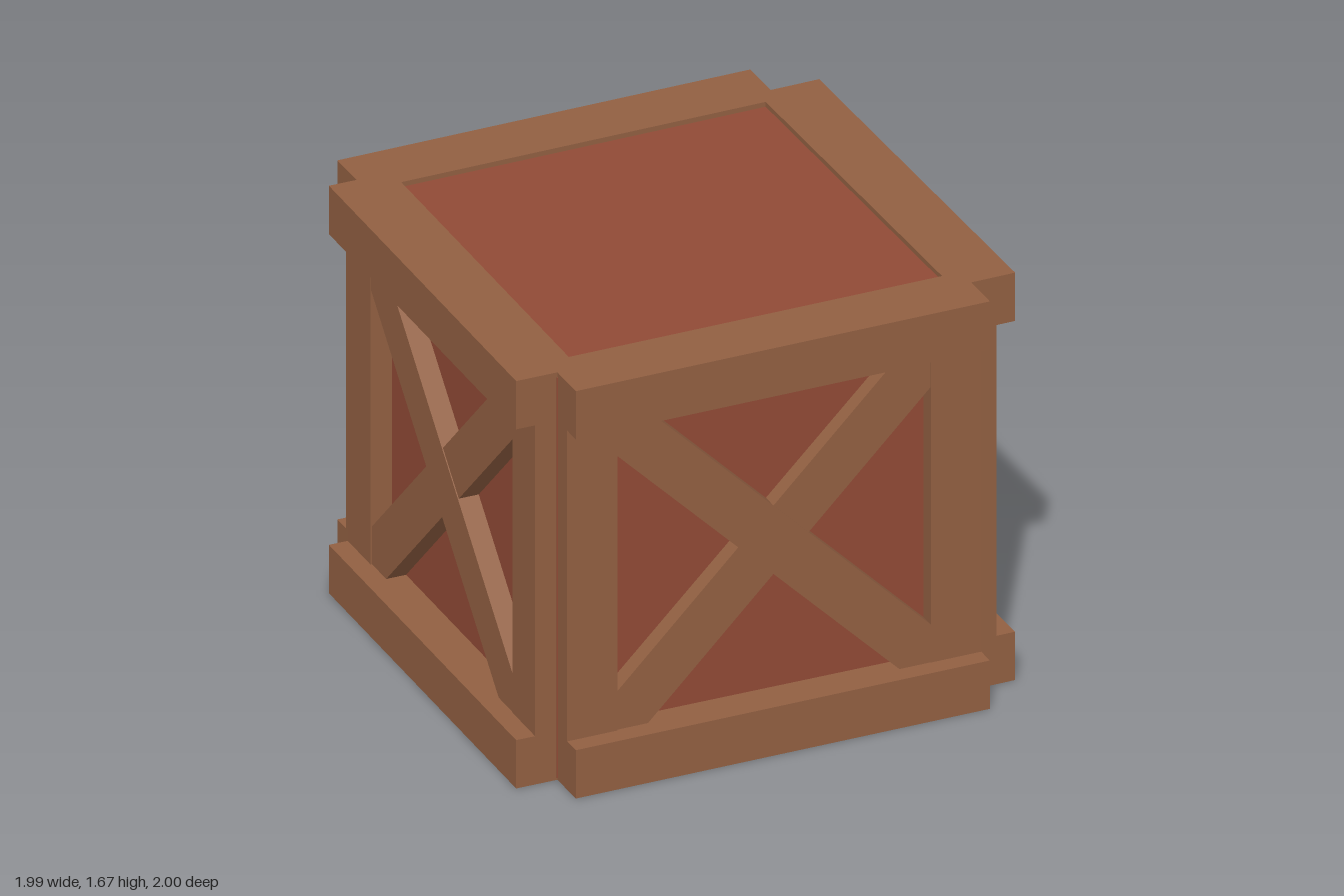
import * as THREE from 'three';

const wood = new THREE.MeshStandardMaterial({ color: 0x926042, flatShading: true });
const red = new THREE.MeshStandardMaterial({ color: 0x914a36, flatShading: true });

const HEIGHT = 1.67, HALF = 0.825; // crate height, half length of one side frame
const RAIL = 0.198, STILE = 0.2;   // board widths

function board(parent, name, material, size, position, roll = 0) {
  const mesh = new THREE.Mesh(new THREE.BoxGeometry(...size), material);
  mesh.name = name;
  mesh.position.set(...position);
  mesh.rotation.z = roll;
  parent.add(mesh);
}

// One framed side: local z = 0 is the outer face of the rails
function sideFrame(name) {
  const side = new THREE.Group();
  side.name = name;
  board(side, 'bottomRail', wood, [2 * HALF, RAIL, 0.25], [0, RAIL / 2, -0.125]);
  board(side, 'topRail', wood, [2 * HALF, RAIL, 0.25], [0, HEIGHT - RAIL / 2, -0.125]);
  for (const s of [-1, 1]) {
    board(side, s < 0 ? 'rightStile' : 'leftStile', wood,
      [STILE, HEIGHT - 2 * RAIL, 0.17], [s * (HALF - STILE / 2), HEIGHT / 2, -0.16]);
    // crossed braces, tucked into the frame corners
    board(side, s < 0 ? 'fallingBrace' : 'risingBrace', wood,
      [1.98, 0.198, 0.15], [0, 0.838, s < 0 ? -0.152 : -0.156], s * Math.PI / 4);
  }
  return side;
}

export function createModel() {
  const crate = new THREE.Group();
  crate.name = 'crate';

  // Inner box, slightly recessed in the frames
  board(crate, 'innerBox', red, [1.65, 1.64, 1.67], [-0.015, 0.83, 0.01]);

  // Side frames, each set a little askew: name, x, z, yaw
  const sides = [
    ['frontFrame', -0.01, 0.992, 0.009],
    ['rightFrame', 0.972, -0.005, Math.PI / 2 + 0.021],
    ['backFrame', -0.067, -0.988, Math.PI + 0.015],
    ['leftFrame', -1, 0.015, -Math.PI / 2],
  ];
  for (const [name, x, z, yaw] of sides) {
    const side = sideFrame(name);
    side.position.set(x, 0, z);
    side.rotation.y = yaw;
    crate.add(side);
  }
  return crate;
}
